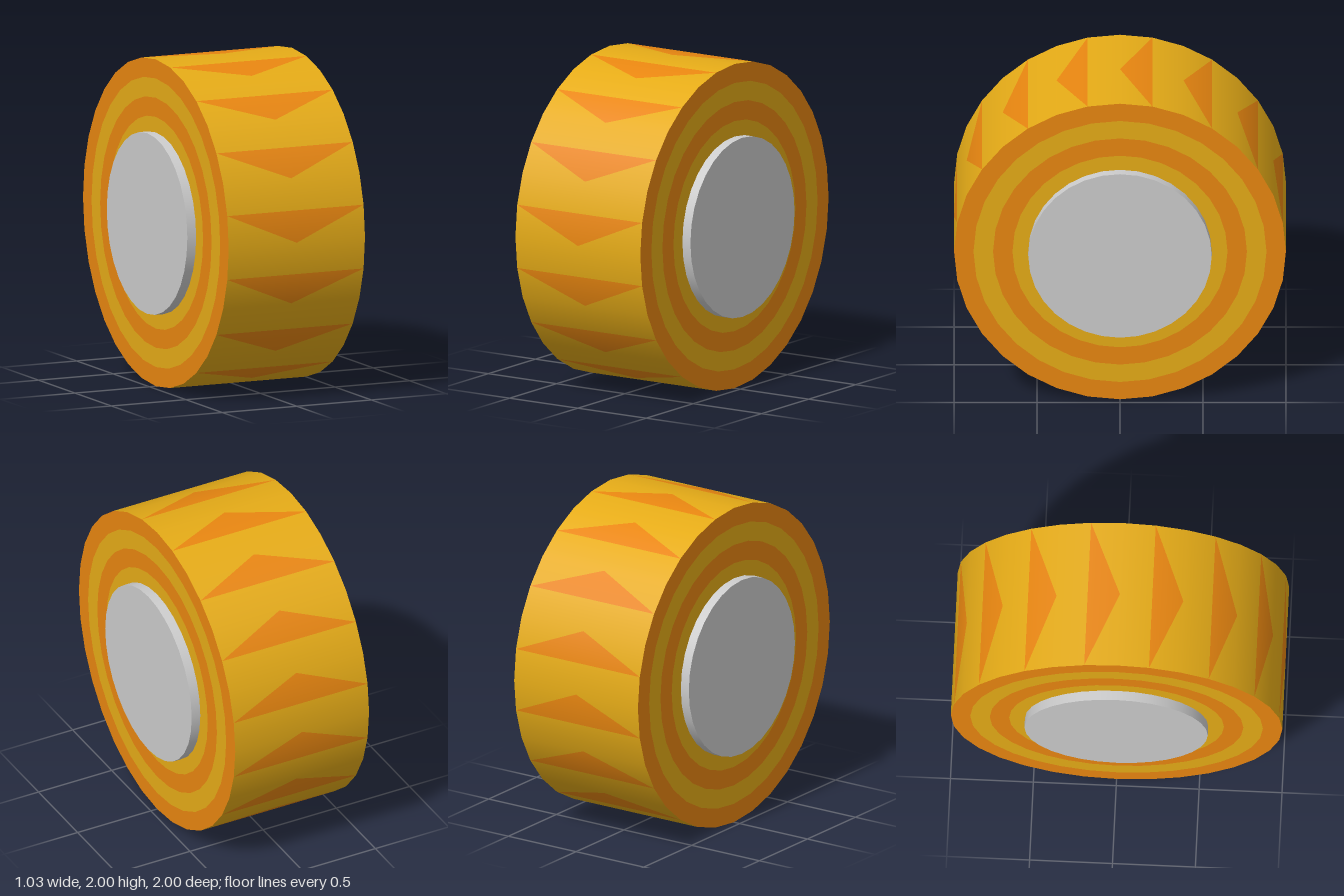
import * as THREE from 'three';

const SEGMENTS = 32;
const RADIUS = 1;
const HALF_WIDTH = 0.457;
const HUB_RADIUS = 0.553;
const HUB_HALF_WIDTH = 0.516;

const yellow = new THREE.MeshStandardMaterial({ color: 0xe5ab17 });
const orange = new THREE.MeshStandardMaterial({ color: 0xe88610 });
const grey = new THREE.MeshStandardMaterial({ color: 0xcccccc });

function named(name, geometry, material) {
  const mesh = new THREE.Mesh(geometry, material);
  mesh.name = name;
  return mesh;
}

// Smooth rim surface from a list of [x, angle] corners, three per triangle
function rimGeometry(corners) {
  const positions = [];
  const normals = [];
  for (const [x, a] of corners) {
    positions.push(x, RADIUS * Math.sin(a), RADIUS * Math.cos(a));
    normals.push(0, Math.sin(a), Math.cos(a));
  }
  const geometry = new THREE.BufferGeometry();
  geometry.setAttribute('position', new THREE.Float32BufferAttribute(positions, 3));
  geometry.setAttribute('normal', new THREE.Float32BufferAttribute(normals, 3));
  return geometry;
}

export function createModel() {
  const wheel = new THREE.Group();
  wheel.name = 'wheel';
  wheel.position.y = RADIUS;

  // Tread: every other facet carries an orange arrow
  const plain = [];
  const arrows = [];
  const step = (Math.PI * 2) / SEGMENTS;
  const w = HALF_WIDTH;
  for (let i = 0; i < SEGMENTS; i++) {
    const a = i * step;
    const b = a + step;
    if (i % 2 === 0) {
      arrows.push([0, a], [w, b], [-w, b]);
      plain.push([-w, a], [0, a], [-w, b], [0, a], [w, a], [w, b]);
    } else {
      plain.push([-w, a], [w, a], [w, b], [-w, a], [w, b], [-w, b]);
    }
  }
  wheel.add(named('tread', rimGeometry(plain), yellow));
  wheel.add(named('treadArrows', rimGeometry(arrows), orange));

  // Side walls: concentric bands, alternating colours from the outside in
  const radii = [RADIUS, 0.883, 0.765, 0.648, HUB_RADIUS - 0.01];
  for (const side of [1, -1]) {
    const wall = new THREE.Group();
    wall.name = side > 0 ? 'leftSideWall' : 'rightSideWall';
    for (let i = 0; i < radii.length - 1; i++) {
      const band = new THREE.RingGeometry(radii[i + 1], radii[i], SEGMENTS);
      wall.add(named('sideBand' + (i + 1), band, i % 2 ? yellow : orange));
    }
    wall.rotation.y = (side * Math.PI) / 2;
    wall.position.x = side * HALF_WIDTH;
    wheel.add(wall);
  }

  // Hub: passes right through and stands proud on both sides
  const hub = new THREE.CylinderGeometry(HUB_RADIUS, HUB_RADIUS, HUB_HALF_WIDTH * 2, SEGMENTS);
  hub.rotateZ(Math.PI / 2);
  wheel.add(named('hub', hub, grey));

  const model = new THREE.Group();
  model.name = 'stripedWheel';
  model.add(wheel);
  return model;
}
